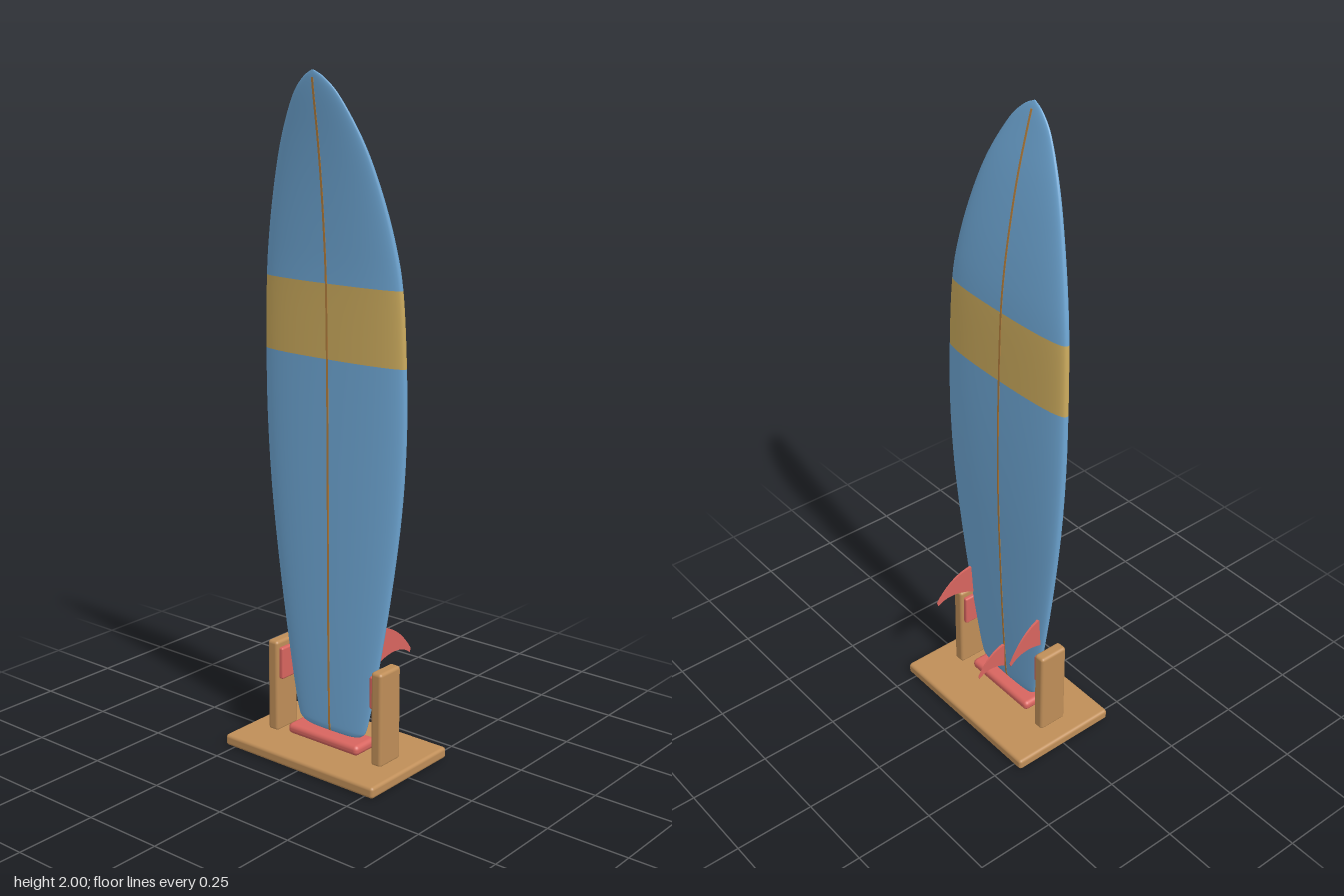
import * as THREE from 'three';
import { RoundedBoxGeometry } from 'three/addons/geometries/RoundedBoxGeometry.js';

const mat = (name, color) => {
  const m = new THREE.MeshStandardMaterial({ color });
  m.name = name;
  return m;
};

// board stations from tail to nose: height, half width, centre z, half thickness
const STATIONS = [
  [0.075, 0.08, 0.015, 0.006], [0.085, 0.113, 0.014, 0.011], [0.125, 0.134, 0.012, 0.015],
  [0.325, 0.173, 0.008, 0.022], [0.55, 0.21, 0.004, 0.027], [0.785, 0.24, 0.001, 0.031],
  [1.0, 0.254, 0.001, 0.032], [1.205, 0.254, 0.004, 0.031], [1.42, 0.244, 0.010, 0.029],
  [1.56, 0.222, 0.021, 0.026], [1.70, 0.186, 0.038, 0.021], [1.82, 0.143, 0.057, 0.016],
  [1.93, 0.084, 0.079, 0.010], [1.98, 0.038, 0.089, 0.006], [2.0, 0.003, 0.093, 0.002],
];
const STEPS = 5; // rows between stations
const ROWS = (STATIONS.length - 1) * STEPS;
const outline = new THREE.SplineCurve(STATIONS.map(s => new THREE.Vector2(s[0], s[1])));
const rocker = new THREE.SplineCurve(STATIONS.map(s => new THREE.Vector2(s[2], s[3])));

function section(i) {
  const a = outline.getPoint(i / ROWS), b = rocker.getPoint(i / ROWS);
  return { y: a.x, w: a.y, z: b.x, h: b.y };
}

// skin a list of equal closed rings, ordered upwards, and close both ends
function loft(rings) {
  const n = rings[0].length, pos = [], idx = [];
  const cap = r => {
    const c = r.reduce((s, p) => s.add(p), new THREE.Vector3()).divideScalar(n);
    return r.map(() => c);
  };
  const all = [cap(rings[0]), ...rings, cap(rings[rings.length - 1])];
  all.forEach(r => r.forEach(p => pos.push(p.x, p.y, p.z)));
  for (let i = 0; i < all.length - 1; i++) {
    for (let j = 0; j < n; j++) {
      const k = (j + 1) % n, a = i * n + j, b = i * n + k;
      idx.push(a, a + n, b, b, a + n, b + n);
    }
  }
  const g = new THREE.BufferGeometry();
  g.setAttribute('position', new THREE.Float32BufferAttribute(pos, 3));
  g.setIndex(idx);
  g.computeVertexNormals();
  return g;
}

export function createModel() {
  const blue = mat('board blue', 0x6fa8d6);
  const yellow = mat('band yellow', 0xcdac5e);
  const wood = mat('stand wood', 0xbf8e58);
  const red = mat('fin and pad red', 0xd8655f);
  const brown = mat('stringer brown', 0xb5803f);

  const model = new THREE.Group();
  const add = (name, geometry, material, x = 0, y = 0, z = 0) => {
    const m = new THREE.Mesh(geometry, material);
    m.name = name;
    m.position.set(x, y, z);
    model.add(m);
    return m;
  };

  // board: flat underside at the back, domed deck at the front
  const SIDES = 48;
  const rings = [];
  for (let i = 0; i <= ROWS; i++) {
    const s = section(i), ring = [];
    for (let j = 0; j < SIDES; j++) {
      const a = (j / SIDES) * Math.PI * 2, c = Math.cos(a), d = Math.sin(a);
      const power = d < 0 ? 0.7 : 0.95;
      ring.push(new THREE.Vector3(
        s.w * Math.sign(c) * Math.abs(c) ** 0.85, s.y,
        s.z + s.h * Math.sign(d) * Math.abs(d) ** power));
    }
    rings.push(ring);
  }
  const board = loft(rings);
  // colour groups: blue, yellow band between stations 7 and 8, blue
  const row = SIDES * 6, from = (7 * STEPS + 1) * row, to = (8 * STEPS + 1) * row;
  board.addGroup(0, from, 0);
  board.addGroup(from, to - from, 1);
  board.addGroup(to, board.index.count - to, 0);
  add('board', board, [blue, yellow]);

  // stringer: thin strip through the board, just proud of both faces
  const strip = [];
  for (let i = 1; i <= ROWS - STEPS; i++) {
    const s = section(i), h = s.h + 0.001;
    strip.push([[1, -1], [1, 1], [-1, 1], [-1, -1]].map(
      ([x, z]) => new THREE.Vector3(x * 0.0035, s.y, s.z + z * h)));
  }
  const stringer = loft(strip).toNonIndexed();
  stringer.computeVertexNormals();
  add('stringer', stringer, brown);

  // swept fin, root at z = 0, reaching backwards, thinning and leaning to the tip
  const fin = (depth, height, lean) => {
    const s = new THREE.Shape();
    s.moveTo(0, 0);
    s.lineTo(0, height);
    s.quadraticCurveTo(depth * 0.6, height * 0.9, depth, height * 0.08);
    s.lineTo(depth * 0.97, -height * 0.03);
    s.quadraticCurveTo(depth * 0.6, height * 0.35, 0, 0);
    const g = new THREE.ExtrudeGeometry(s, { depth: 0.009, bevelEnabled: false, curveSegments: 10 });
    g.translate(0, 0, -0.0045);
    g.rotateY(Math.PI / 2);
    const p = g.attributes.position;
    for (let i = 0; i < p.count; i++) {
      const t = -p.getZ(i) / depth;
      p.setX(i, p.getX(i) * (1 - 0.7 * t) + lean * t);
    }
    g.computeVertexNormals();
    return g;
  };
  add('centreFin', fin(0.1, 0.085, 0), red, 0, 0.135, -0.012);

  // stand
  add('base', new RoundedBoxGeometry(0.566, 0.035, 0.355, 3, 0.01), wood, 0, 0.0175, 0);
  add('tailPad', new RoundedBoxGeometry(0.268, 0.032, 0.095, 4, 0.014), red, 0, 0.058, 0.016);
  for (const side of [1, -1]) {
    const label = side > 0 ? 'left' : 'right';
    add(label + 'Fin', fin(0.133, 0.105, side * 0.017), red, side * 0.161, 0.327, 0);
    add(label + 'Post', new RoundedBoxGeometry(0.038, 0.29, 0.095, 3, 0.01), wood, side * 0.198, 0.175, 0.0095);
    add(label + 'PostPad', new RoundedBoxGeometry(0.017, 0.1, 0.075, 3, 0.006), red, side * 0.174, 0.25, 0.0095);
  }
  return model;
}
